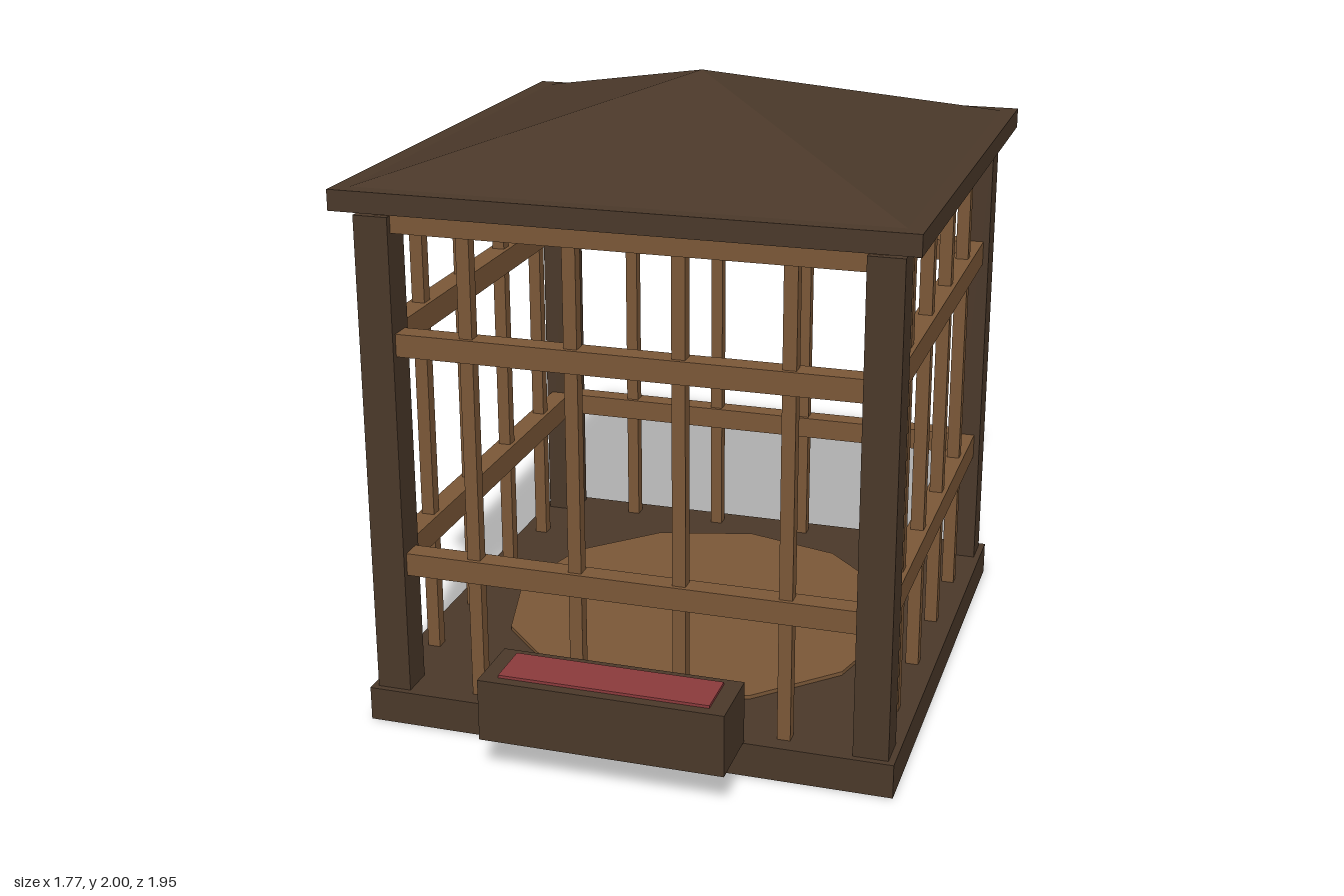
import * as THREE from 'three';

export function createModel() {
  const model = new THREE.Group();
  model.name = 'woodenCage';

  const mat = (name, color) => {
    const m = new THREE.MeshStandardMaterial({ color });
    m.name = name;
    return m;
  };
  const darkWood = mat('darkWood', 0x4a3829);
  const lightWood = mat('lightWood', 0x7a5737);
  const red = mat('red', 0x8b3a3c);

  const add = (parent, name, geometry, material, x, y, z) => {
    const mesh = new THREE.Mesh(geometry, material);
    mesh.name = name;
    mesh.position.set(x, y, z);
    parent.add(mesh);
    return mesh;
  };
  // Box given by its width, depth and vertical extent
  const box = (parent, name, material, w, d, y0, y1, x = 0, z = 0) =>
    add(parent, name, new THREE.BoxGeometry(w, y1 - y0, d), material, x, (y0 + y1) / 2, z);

  const cage = new THREE.Group();
  cage.name = 'cage';
  cage.position.z = -0.0875;
  model.add(cage);

  // Floor slab and round bedding
  box(cage, 'base', darkWood, 1.706, 1.706, 0, 0.111);
  const bedding = new THREE.CylinderGeometry(0.665, 0.665, 0.014, 12).toNonIndexed();
  bedding.computeVertexNormals();
  add(cage, 'bedding', bedding, lightWood, 0, 0.117, 0);

  // Corner posts
  const P = 0.7775;
  for (const sx of [-1, 1])
    for (const sz of [-1, 1])
      box(cage, 'cornerPost', darkWood, 0.11, 0.11, 0.111, 1.668, sx * P, sz * P);

  // Four barred walls, each built facing +z and turned into place
  for (let i = 0; i < 4; i++) {
    const wall = new THREE.Group();
    wall.name = ['frontWall', 'leftWall', 'backWall', 'rightWall'][i];
    wall.rotation.y = (i * Math.PI) / 2;
    cage.add(wall);
    const side = i % 2;
    box(wall, 'lowerRail', lightWood, 1.555, 0.07, 0.505, side ? 0.589 : 0.579, 0, P);
    box(wall, 'upperRail', lightWood, 1.555, 0.07, 1.229, side ? 1.311 : 1.301, 0, P);
    box(wall, 'topBeam', lightWood, 1.555, 0.068, 1.615, 1.692, 0, P);
    for (const x of [-0.5, -0.167, 0.167, 0.5])
      box(wall, 'bar', lightWood, 0.042, 0.042, 0.111, 1.64, x, P);
  }

  // Roof slab and four-sided pyramid
  box(cage, 'eaves', darkWood, 1.772, 1.772, 1.69, 1.755);
  const pyramid = new THREE.ConeGeometry(0.835 * Math.SQRT2, 0.245, 4, 1, true).toNonIndexed();
  pyramid.rotateY(Math.PI / 4);
  pyramid.computeVertexNormals();
  add(cage, 'roof', pyramid, darkWood, 0, 1.8775, 0);

  // Feeding trough in front, with its red filling
  box(model, 'trough', darkWood, 0.776, 0.222, 0.113, 0.314, 0, 0.868);
  box(model, 'troughFilling', red, 0.666, 0.155, 0.314, 0.323, 0, 0.868);

  return model;
}
